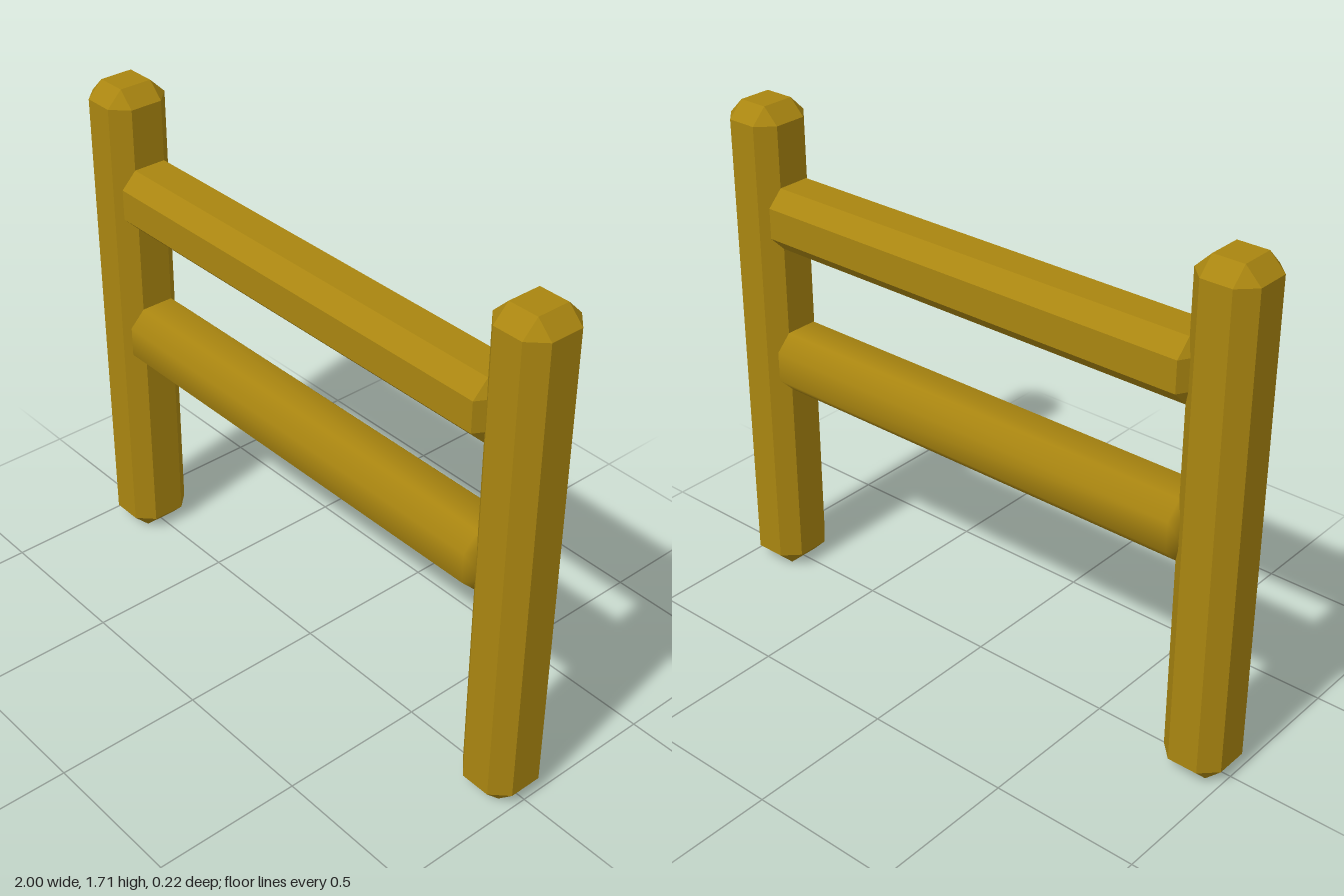
import * as THREE from 'three';
import { ConvexGeometry } from 'three/addons/geometries/ConvexGeometry.js';
import { mergeVertices } from 'three/addons/utils/BufferGeometryUtils.js';

// Box with every edge cut: half sizes h and bevel depths b, both per axis
function chamferedBox(h, b, smooth = false) {
  const points = [];
  for (const sx of [-1, 1]) for (const sy of [-1, 1]) for (const sz of [-1, 1]) {
    const s = [sx, sy, sz];
    // one point per face meeting at this corner
    for (let face = 0; face < 3; face++) {
      points.push(new THREE.Vector3(...s.map((v, i) => v * (i === face ? h[i] : h[i] - b[i]))));
    }
  }
  let geometry = new ConvexGeometry(points);
  if (smooth) {
    geometry.deleteAttribute('normal');
    geometry = mergeVertices(geometry);
    geometry.computeVertexNormals();
  }
  return geometry;
}

export function createModel() {
  const model = new THREE.Group();
  model.name = 'fenceSection';
  const wood = new THREE.MeshStandardMaterial({ color: 0xa98510 });

  const add = (name, geometry, x, y) => {
    const mesh = new THREE.Mesh(geometry, wood);
    mesh.name = name;
    mesh.position.set(x, y, 0);
    model.add(mesh);
  };

  // Upright posts
  const post = chamferedBox([0.105, 0.855, 0.11], [0.053, 0.053, 0.053]);
  add('leftPost', post, 0.895, 0.855);
  add('rightPost', post, -0.895, 0.855);

  // Rails, their ends sunk into the posts; the lower one is softly rounded
  const railHalf = [0.82, 0.105, 0.11];
  const railBevel = [0.03, 0.053, 0.053];
  add('upperRail', chamferedBox(railHalf, railBevel), 0, 1.345);
  add('lowerRail', chamferedBox(railHalf, railBevel, true), 0, 0.83);

  return model;
}
